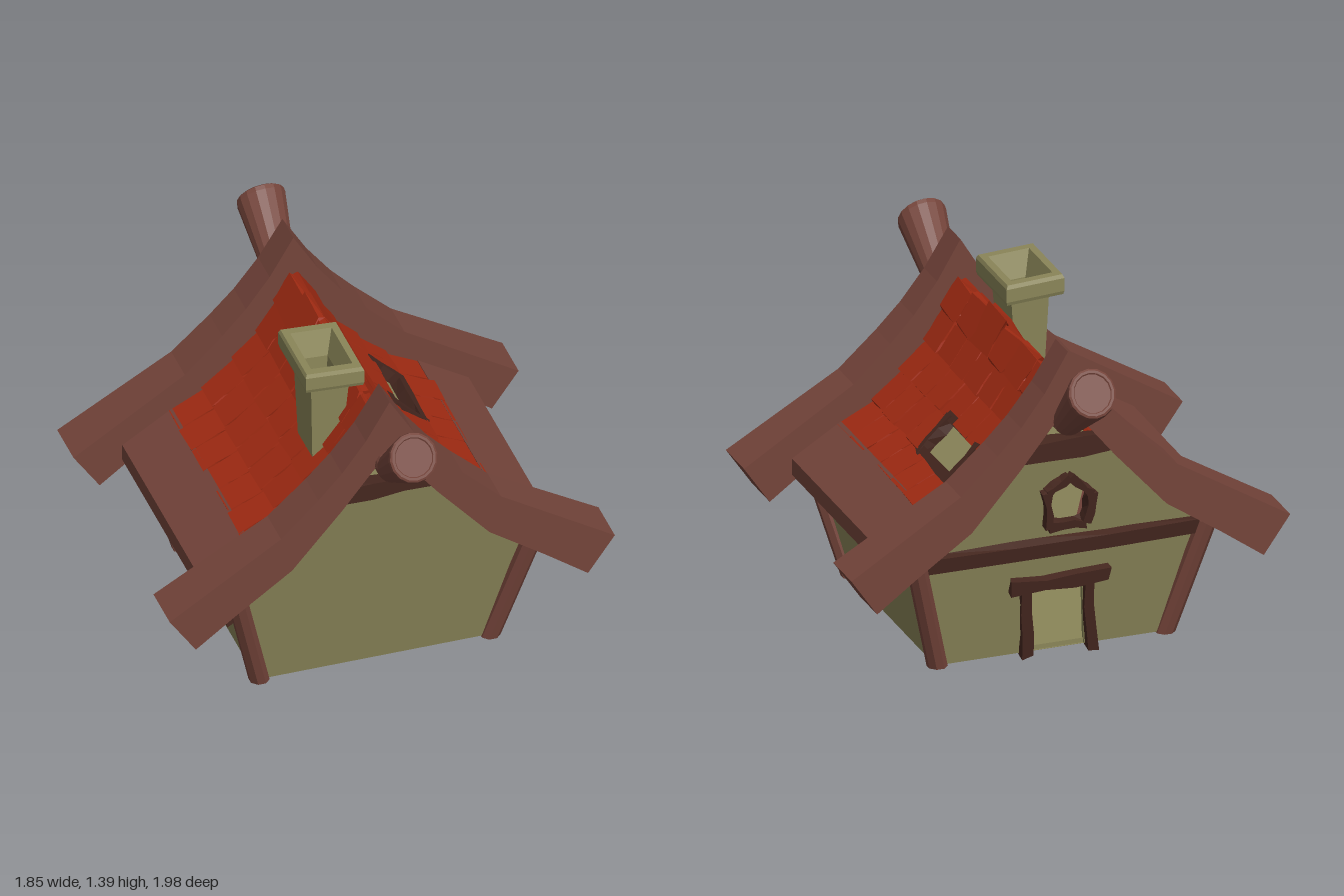
import * as THREE from 'three';

const material = (color) => new THREE.MeshStandardMaterial({ color, flatShading: true });
const V = (x, y, z) => new THREE.Vector3(x, y, z);

// Repeatable noise in -0.5..0.5, equal for equal positions
const noise = (a, b, c) => {
  const s = Math.sin(a * 127.1 + b * 311.7 + c * 74.7) * 43758.5453;
  return s - Math.floor(s) - 0.5;
};

function shapeOf(points, holes = []) {
  const shape = new THREE.Shape(points.map((p) => new THREE.Vector2(...p)));
  holes.forEach((h) => shape.holes.push(new THREE.Path(h.map((p) => new THREE.Vector2(...p)))));
  return shape;
}

function moveVertices(geo, rule) {
  const pos = geo.attributes.position;
  const v = V(0, 0, 0);
  for (let i = 0; i < pos.count; i++) {
    rule(v.fromBufferAttribute(pos, i));
    pos.setXYZ(i, v.x, v.y, v.z);
  }
  geo.computeVertexNormals();
  return geo;
}

export function createModel() {
  const model = new THREE.Group();
  model.name = 'cottage';
  const house = new THREE.Group();
  house.name = 'house';
  house.position.z = -0.014;
  model.add(house);

  const wood = material(0x74443a);
  const darkWood = material(0x45271f);
  const plaster = material(0x8a8558);
  const red = material(0xa02a12);

  const add = (name, geo, mat, parent = house) => {
    const mesh = new THREE.Mesh(geo, mat);
    mesh.name = name;
    parent.add(mesh);
    return mesh;
  };

  // Board from p to q facing n, with optional crooked carving
  function board(name, p, q, width, depth, n, mat, rough = 0) {
    const Y = q.clone().sub(p);
    const length = Y.length();
    Y.normalize();
    const X = Y.clone().cross(n).normalize();
    const geo = new THREE.BoxGeometry(width, length, depth, 1, rough ? 3 : 1, 1);
    if (rough) {
      moveVertices(geo, (v) => {
        const k = p.x + q.y * 2 + p.z * 3 + q.z;
        const dx = noise(v.x + k, v.y, v.z) * rough;
        const dy = noise(v.y, v.x + k, v.z) * rough;
        v.x += dx;
        v.y += dy;
      });
    }
    geo.applyMatrix4(new THREE.Matrix4().makeBasis(X, Y, X.clone().cross(Y)));
    const c = p.clone().add(q).multiplyScalar(0.5);
    geo.translate(c.x, c.y, c.z);
    return add(name, geo, mat);
  }

  // Leaning wall plate
  function wall(name, points, holes, lean) {
    const geo = new THREE.ExtrudeGeometry(shapeOf(points, holes), { depth: 0.02, bevelEnabled: false });
    return add(name, moveVertices(geo, (v) => { v.z += lean(v.y) - 0.02; }), plaster);
  }
  const endLean = (y) => 0.482 + 0.165 * (y - 0.03);
  const sideLean = (y) => 0.49 + 0.24 * (y - 0.03);

  const endOutline = [[-0.49, 0.03], [0.49, 0.03], [0.61, 0.52], [0.42, 0.68], [0.18, 0.94],
    [-0.18, 0.94], [-0.42, 0.68], [-0.61, 0.52]];
  const door = [[-0.135, 0.031], [-0.11, 0.31], [0.115, 0.31], [0.1, 0.031]];
  const gableWindow = [[-0.1, 0.605], [-0.115, 0.74], [-0.02, 0.825], [0.075, 0.77], [0.055, 0.61]];
  const sideWindow = [[-0.31, 0.24], [-0.31, 0.42], [-0.08, 0.42], [-0.08, 0.24]];
  for (const s of [1, -1]) {
    const back = s < 0;
    wall(back ? 'backWall' : 'frontWall', endOutline, back ? [door, gableWindow] : [], endLean).scale.z = s;
    const side = wall(s > 0 ? 'leftWall' : 'rightWall', [[-0.47, 0.03], [0.47, 0.03], [0.565, 0.57], [-0.565, 0.57]],
      back ? [sideWindow] : [], sideLean);
    side.geometry.rotateY(Math.PI / 2);
    side.scale.x = s;
  }
  add('floor', new THREE.BoxGeometry(0.97, 0.02, 0.95).translate(0, 0.04, 0), plaster);

  // Corner posts, leaning outward with level ends
  for (const sx of [1, -1]) for (const sz of [1, -1]) {
    const geo = new THREE.CylinderGeometry(0.042, 0.042, 0.51, 8).rotateY(Math.PI / 8).translate(0, 0.28, 0);
    moveVertices(geo, (v) => {
      v.x += sx * (0.48 + 0.265 * (v.y - 0.025));
      v.z += sz * (0.473 + 0.23 * (v.y - 0.025));
    });
    add('cornerPost', geo, wood);
  }

  // Curved gable beams, thicker toward the eaves
  const rafter = shapeOf([[0, 1.13], [0.07, 1.06], [0.2, 0.9], [0.41, 0.665], [0.64, 0.51], [0.815, 0.385],
    [0.925, 0.545], [0.457, 0.828], [0.3, 0.975], [0.2, 1.08], [0.1, 1.21], [0, 1.375]]);
  for (const sz of [1, -1]) for (const sx of [1, -1]) {
    const geo = new THREE.ExtrudeGeometry(rafter, { depth: 2, bevelEnabled: false });
    moveVertices(geo, (v) => { v.z = 0.591 + (v.z - 1) * (0.068 + 0.035 * v.x); });
    add('gableBeam', geo, wood).scale.set(sx, 1, sz);
  }

  // Eave planks
  const eave = shapeOf([[0.5, 0.6], [0.72, 0.485], [0.72, 0.555], [0.51, 0.68]]);
  for (const sx of [1, -1]) {
    const geo = new THREE.ExtrudeGeometry(eave, { depth: 1.04, bevelEnabled: false }).translate(0, 0, -0.52);
    add('eavePlank', geo, wood).scale.x = sx;
  }

  // Roof: rows of tiles over thin sheets, with one opening on the left slope
  const profile = [[0, 1.2], [0.062, 1.085], [0.13, 0.96], [0.235, 0.845], [0.36, 0.73], [0.505, 0.645]];
  for (const sx of [1, -1]) {
    for (let r = 0; r < profile.length - 1; r++) {
      const [x0, y0] = profile[r], [x1, y1] = profile[r + 1];
      const n = V(sx * (y0 - y1), x1 - x0, 0).normalize();
      const spans = sx > 0 && r === 3 ? [[-0.52, -0.31, 2], [-0.015, 0.52, 4]] : [[-0.52, 0.52, r ? 7 : 6]];
      for (const [z0, z1, count] of spans) {
        const zc = (z0 + z1) / 2;
        board('roofSheet', V(sx * x0, y0, zc), V(sx * x1, y1, zc), z1 - z0, 0.016, n, red);
        for (let i = 0; i < count; i++) {
          const w = (z1 - z0) / count;
          const z = z0 + w * (i + 0.5);
          const j = noise(r + sx, i, count);
          const p = V(sx * x0, y0, z).addScaledVector(n, 0.006);
          const q = V(sx * x1, y1, z + j * 0.01).addScaledVector(n, 0.022 + j * 0.006);
          q.addScaledVector(q.clone().sub(p), 0.03 + j * 0.06);
          if (r === 0) p.y += 0.025 + noise(i, 3, 5) * 0.04;
          board(r ? 'roofTile' : 'ridgeTile', p, q, w * (r ? 0.95 : 1.02), 0.022, n, red, r ? 0.008 : 0.025);
        }
      }
    }
  }

  // Frame around the roof opening
  const up = V(0.66, 0.75, 0);
  const onRoof = (x, y, z) => V(x, y, z).addScaledVector(up, 0.02);
  board('skylightFrame', onRoof(0.226, 0.845, -0.35), onRoof(0.226, 0.845, 0.02), 0.025, 0.035, up, darkWood, 0.015);
  board('skylightFrame', onRoof(0.35, 0.72, -0.34), onRoof(0.35, 0.72, 0.01), 0.035, 0.05, up, darkWood, 0.02);
  for (const z of [-0.32, -0.01])
    board('skylightFrame', onRoof(0.225, 0.85, z), onRoof(0.365, 0.712, z), 0.03, 0.045, up, darkWood, 0.015);

  // Upturned ridge logs, with their ends cut askew
  const log = [[0.062, 0], [0.1, 0.325], [0.098, 0.342], [0.09, 0.347], [0.08, 0.347], [0.076, 0.342], [0, 0.342]];
  for (const s of [1, -1]) {
    const horn = new THREE.Group();
    horn.name = 'ridgeLog';
    horn.position.z = 0.013;
    horn.scale.z = s;
    house.add(horn);
    add('logStub', new THREE.CylinderGeometry(0.062, 0.062, 0.2, 16).rotateX(Math.PI / 2).translate(0, 1.085, 0.58), wood, horn);
    add('logJoint', new THREE.SphereGeometry(0.062, 16, 10).translate(0, 1.085, 0.68), wood, horn);
    const geo = new THREE.LatheGeometry(log.map((p) => new THREE.Vector2(...p)), 16);
    moveVertices(geo, (v) => { v.y -= 0.21 * v.z * (v.y / 0.35); });
    const tip = add('logHorn', geo, wood, horn);
    tip.position.set(0, 1.085, 0.68);
    tip.quaternion.setFromUnitVectors(V(0, 1, 0), V(0, 0.225, 0.267).normalize());
    // Collar beam under the ridge
    board('collarBeam', V(-0.19, 0.955, s * 0.62), V(0.19, 0.955, s * 0.62), 0.075, 0.06, V(0, 0, s), darkWood, 0.02);
  }

  // Chimney: rectangular rings [y, centre x, half x, half z] from the foot, over the tilted rim and down inside
  const rings = [[0.85, -0.145, 0.055, 0.085], [1.285, -0.135, 0.08, 0.11], [1.285, -0.135, 0.118, 0.165], [1.3, -0.135, 0.122, 0.17],
    [1.355, -0.135, 0.122, 0.17], [1.37, -0.135, 0.115, 0.162], [1.37, -0.135, 0.086, 0.128], [1.27, -0.135, 0.055, 0.085], [0.9, -0.145, 0.04, 0.065]];
  const verts = [], faces = [];
  rings.forEach(([y, c, hx, hz], i) => {
    [[-1, 1], [1, 1], [1, -1], [-1, -1]].forEach(([a, b], k) => {
      verts.push(c + a * hx, y - a * hx * 0.06, 0.218 + b * hz);
      if (i) {
        const A = i * 4 - 4 + k, B = i * 4 - 4 + (k + 1) % 4;
        faces.push(A, B, B + 4, A, B + 4, A + 4);
      }
    });
  });
  const chimney = new THREE.BufferGeometry();
  chimney.setAttribute('position', new THREE.Float32BufferAttribute(verts, 3));
  chimney.setIndex(faces);
  chimney.computeVertexNormals();
  add('chimney', chimney, plaster);

  // Timber trim: back wall, gable window and door
  const back = V(0, -0.165, -1).normalize();
  const onBack = (x, y) => V(x, y, -0.012 - endLean(y));
  const trim = (name, a, b, w) => board(name, onBack(...a), onBack(...b), w, 0.05, back, darkWood, 0.018);
  trim('crossBeam', [-0.6, 0.515], [0.6, 0.515], 0.065);
  trim('doorPost', [-0.16, 0.008], [-0.125, 0.33], 0.04);
  trim('doorPost', [0.118, 0.02], [0.135, 0.33], 0.04);
  trim('doorLintel', [-0.21, 0.35], [0.2, 0.35], 0.055);
  gableWindow.forEach((p, i) => trim('gableWindowFrame', p, gableWindow[(i + 1) % 5], 0.034));

  // Right wall window frame
  const onSide = (z, y) => V(-0.012 - sideLean(y), y, z);
  const frame = (a, b, w) => board('sideWindowFrame', onSide(...a), onSide(...b), w, 0.045, V(-1, -0.24, 0), darkWood, 0.018);
  frame([0.04, 0.43], [0.35, 0.43], 0.035);
  frame([0.05, 0.235], [0.34, 0.235], 0.03);
  for (const [z, w] of [[0.075, 0.035], [0.195, 0.02], [0.315, 0.035]]) frame([z, 0.22], [z, 0.44], w);

  return model;
}
